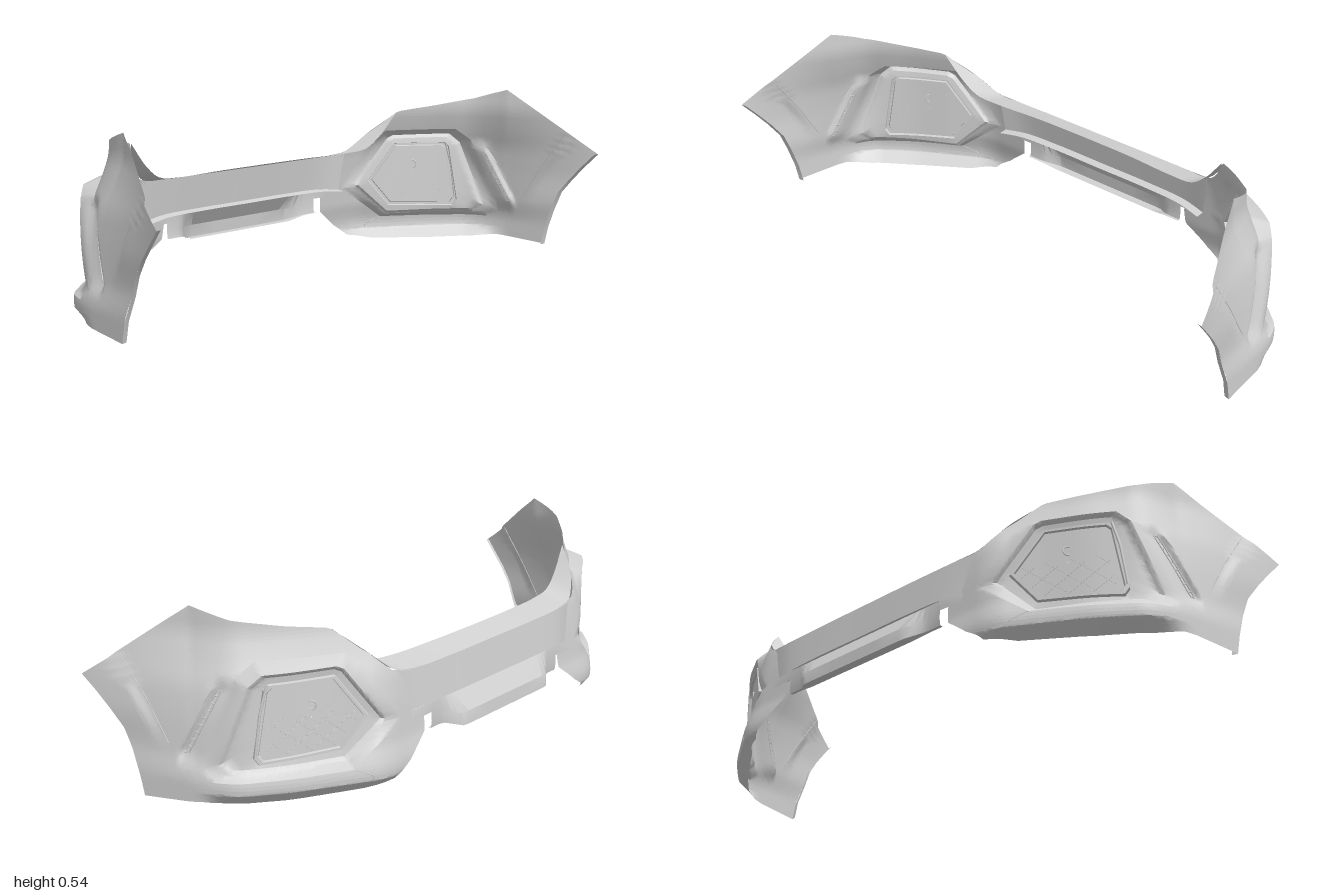
import * as THREE from 'three';
import { toCreasedNormals } from 'three/addons/utils/BufferGeometryUtils.js';

const grey = new THREE.MeshStandardMaterial({ color: 0xd2d2d2, side: THREE.DoubleSide });
grey.name = 'primer grey';
const { lerp, smoothstep, clamp } = THREE.MathUtils;
const V = (x, y, z) => new THREE.Vector3(x, y, z);

// Piecewise linear lookup in [[key, value], ...]
function lookup(table, k) {
  let i = 1;
  while (i < table.length - 1 && table[i][0] < k) i++;
  const [a, b] = [table[i - 1], table[i]];
  return lerp(a[1], b[1], clamp((k - a[0]) / (b[0] - a[0]), 0, 1));
}

// Lookup averaged over a small window, which rounds the corners
function soft(table, k, window) {
  let sum = 0;
  for (let i = -3; i <= 3; i++) sum += lookup(table, k + (i * window) / 3);
  return sum / 7;
}

// Corner skin: u = x + z runs round the corner from the front to the wheel arch
const FOOTPRINT = [[-0.2, 0.145], [0.2, 0.545], [0.32, 0.62], [0.58, 0.78], [0.8, 0.9],
  [0.93, 0.935], [1.265, 0.977], [1.375, 0.993], [1.5, 1.01]];
const LEAN = [[0.09, 0], [0.12, 0.012], [0.25, 0.025], [0.33, 0.037], [0.4, 0.058], [0.47, 0.075], [0.6, 0.075]];
const CHAMFER = [[0, 0.034], [0.045, 0.001], [0.06, 0]];
const POCKET = [[0.2, 0.036], [0.4, 0.035], [0.7, 0.024], [0.88, 0.024]];
const ARCH_CREASE = [[0.12, 1.02], [0.16, 1.045], [0.28, 1.125], [0.4, 1.225], [0.5, 1.3]];
const VENT = [[0.14, 0.983], [0.33, 0.845]];

// depth sinks a point inwards; pocket blends from the leaning skin to the upright lamp pocket
function skin(u, y, depth = 0, pocket = 0) {
  let d = soft(LEAN, y, 0.025) * (1 - clamp((u - 0.95) / 0.425, 0, 1));
  d += lookup(CHAMFER, y) * (1 - smoothstep(u, 0.8, 0.98));
  // Flared wheel arch edge
  d -= 0.008 * smoothstep(u - lookup(ARCH_CREASE, y), 0, 0.06) * smoothstep(y, 0.13, 0.26);
  // Hollow in front of the side vent
  const w = u - lookup(VENT, y);
  d += 0.012 * smoothstep(w, -0.09, 0) * (1 - smoothstep(w, 0.005, 0.04))
    * smoothstep(y, 0.1, 0.15) * (1 - smoothstep(y, 0.31, 0.37));
  const z = soft(FOOTPRINT, u, 0.05) - lerp(d, lookup(POCKET, u), pocket) - depth;
  return V(u - z, y, z);
}

// Outlines in (u, y), all star-shaped about CENTRE
const CENTRE = [0.5, 0.24];
const PANEL = [[0.295, 0.225], [0.415, 0.34], [0.65, 0.337], [0.668, 0.325], [0.708, 0.15], [0.69, 0.132], [0.39, 0.143]];
const RIM = [[0.2, 0.205], [0.37, 0.368], [0.4, 0.378], [0.69, 0.377], [0.745, 0.345], [0.87, 0.12], [0.82, 0.097], [0.36, 0.1]];
const FRAME = [[0.14, 0.2], [0.29, 0.365], [0.36, 0.4], [0.71, 0.4], [0.79, 0.36], [0.935, 0.11], [0.89, 0.08], [0.34, 0.085]];
const ARCH = [[1.15, 0.001], [1.165, 0.06], [1.19, 0.13], [1.22, 0.19], [1.27, 0.24], [1.32, 0.285], [1.375, 0.33]];
const OUTLINE = [[0.95, 0.543], [0.8, 0.51], [0.6, 0.486], [0.43, 0.47], [0.41, 0.465], [0.28, 0.4],
  [0.17, 0.335], [0.14, 0.33], [0.08, 0.2], [0.03, 0.18], [0.03, 0.13], [0.1, 0.07], [0.17, 0.03], [0.3, 0.014],
  [0.6, 0.008], [0.8, 0.01], [0.93, 0.017], ...ARCH];

// Distance from CENTRE to an outline along a given angle
function reach(poly, angle) {
  const dx = Math.cos(angle), dy = Math.sin(angle);
  let best = 0;
  poly.forEach((p, i) => {
    const q = poly[(i + 1) % poly.length];
    const ax = p[0] - CENTRE[0], ay = p[1] - CENTRE[1];
    const ex = q[0] - p[0], ey = q[1] - p[1];
    const den = dx * ey - dy * ex;
    if (Math.abs(den) < 1e-9) return;
    const t = (ax * ey - ay * ex) / den, s = (ax * dy - ay * dx) / den;
    if (t > 0 && s > -1e-6 && s < 1 + 1e-6) best = Math.max(best, t);
  });
  return best;
}

// Surface through rows of points
function loft(rows, name, crease = 0.5) {
  const n = rows[0].length, index = [];
  for (let i = 0; i < rows.length - 1; i++) {
    for (let j = 0; j < n - 1; j++) {
      const a = i * n + j, b = a + n;
      index.push(a, a + 1, b, a + 1, b + 1, b);
    }
  }
  const g = new THREE.BufferGeometry().setFromPoints(rows.flat());
  g.setIndex(index);
  return named(toCreasedNormals(g, crease), name);
}

function named(geometry, name) {
  const m = new THREE.Mesh(geometry, grey);
  m.name = name;
  return m;
}

function rod(points, radius, name, closed = false) {
  const path = new THREE.CatmullRomCurve3(points, closed, 'catmullrom', 0.1);
  return named(new THREE.TubeGeometry(path, points.length * 4, radius, 6, closed), name);
}

function cornerSkin() {
  const angles = [];
  for (let i = 0; i < 240; i++) angles.push(-Math.PI + (i / 240) * Math.PI * 2);
  for (const [u, y] of [PANEL, RIM, FRAME, OUTLINE].flat()) angles.push(Math.atan2(y - CENTRE[1], u - CENTRE[0]));
  angles.sort((a, b) => a - b);
  angles.push(angles[0]);
  // Rings from the pocket floor outwards: outline, scale, depth, pocket blend, steps
  const rings = [[PANEL, 0.01, 0, 1, 1], [PANEL, 1, 0, 1, 6], [PANEL, 1.02, -0.006, 1, 1], [PANEL, 1.09, -0.006, 1, 1],
    [PANEL, 1.11, 0.002, 1, 1], [RIM, 0.92, 0, 1, 3], [RIM, 0.98, -0.007, 1, 2], [RIM, 1, -0.008, 1, 1],
    [FRAME, 1, 0, 0, 4], [OUTLINE, 1, 0, 0, 40]];
  const columns = angles.map((a) => {
    const column = [];
    let r0 = 0, d0 = 0, p0 = 1;
    for (const [poly, scale, d1, p1, steps] of rings) {
      const r1 = reach(poly, a) * scale;
      for (let i = 1; i <= steps; i++) {
        const t = i / steps, r = lerp(r0, r1, t);
        column.push(skin(CENTRE[0] + r * Math.cos(a), CENTRE[1] + r * Math.sin(a), lerp(d0, d1, t), lerp(p0, p1, t)));
      }
      r0 = r1; d0 = d1; p0 = p1;
    }
    return column;
  });
  return loft(columns, 'cornerSkin', 0.6);
}

function corner() {
  const g = new THREE.Group();
  g.add(cornerSkin());

  // Return edge along the wheel arch
  const edge = ARCH.map(([u, y]) => skin(u, y));
  g.add(loft([edge, edge.map((p) => V(p.x - 0.004, p.y, p.z - 0.018))], 'archReturn'));

  // Fine diamond lattice on the lower pocket floor
  for (const slope of [-0.55, 0.55]) {
    for (let k = -3; k <= 2; k++) {
      const inside = [];
      for (let i = 0; i <= 80; i++) {
        const u = 0.28 + i * 0.0055, y = 0.2 + k * 0.055 + slope * (u - 0.5);
        const dx = u - CENTRE[0], dy = y - CENTRE[1];
        if (y < 0.25 && Math.hypot(dx, dy) < reach(PANEL, Math.atan2(dy, dx)) * 0.98) inside.push(skin(u, y, -0.0003, 1));
      }
      if (inside.length > 6) g.add(rod(inside.filter((p, i) => i % 5 === 0), 0.0005, 'latticeBar'));
    }
  }

  // Round sensor seat
  const seat = named(new THREE.TorusGeometry(0.013, 0.002, 8, 24), 'sensorSeat');
  seat.position.copy(skin(0.5, 0.275, -0.001, 1));
  seat.lookAt(seat.position.clone().add(V(-0.83, 0, 1.3)));
  g.add(seat);

  // Upright reflector strip beside the pocket panel
  g.add(rod([[0.672, 0.345], [0.7, 0.27], [0.722, 0.15]].map(([u, y]) => skin(u, y, -0.006, 1)), 0.004, 'reflectorStrip'));

  // Side vent rim and ribs
  const side = (offset) => [0.145, 0.2, 0.26, 0.325].map((y) => skin(lookup(VENT, y) + offset, y, -0.001));
  g.add(rod([...side(-0.008), ...side(0.008).reverse()], 0.002, 'ventRim', true));
  for (let i = 0; i < 8; i++) {
    const y = 0.16 + i * 0.021, u = lookup(VENT, y);
    g.add(rod([skin(u - 0.008, y), skin(u + 0.008, y + 0.004)], 0.002, 'ventRib'));
  }

  // Crease ahead of the wheel arch and seam across the lower lip
  g.add(rod([0.165, 0.22, 0.28, 0.34, 0.395].map((y) => skin(lookup(ARCH_CREASE, y), y)), 0.0015, 'archCrease'));
  g.add(rod([[0.26, 0.045], [0.265, 0.062], [0.34, 0.085]].map(([u, y]) => skin(u, y)), 0.0012, 'lipSeam'));
  return g;
}

// Half of the centre beam, its top flange and the lower lip
function halfBeam() {
  const g = new THREE.Group();
  const sample = (pts) => new THREE.CatmullRomCurve3(pts.map((p) => V(...p))).getPoints(40);
  const front = sample([[-0.325, 0.32, 0], [-0.325, 0.32, 0.2], [-0.32, 0.322, 0.37], [-0.308, 0.33, 0.455], [-0.26, 0.4, 0.54], [-0.19, 0.465, 0.6]]);
  const back = sample([[-0.24, 0.34, 0], [-0.237, 0.34, 0.2], [-0.225, 0.34, 0.38], [-0.215, 0.35, 0.47], [-0.205, 0.39, 0.53], [-0.19, 0.466, 0.6]]);
  g.add(loft([front, back], 'topFlange'));
  const top = sample([[-0.325, 0.32, 0], [-0.325, 0.32, 0.2], [-0.32, 0.322, 0.37], [-0.307, 0.33, 0.46]]);
  const low = sample([[-0.34, 0.21, 0], [-0.34, 0.21, 0.2], [-0.334, 0.208, 0.35], [-0.318, 0.2, 0.44]]);
  const ledge = low.map((p) => V(p.x + 0.027, p.y - 0.005, p.z));
  g.add(loft([ledge, low, top], 'beamFace'));

  // Lower lip, standing proud in the middle and stopping at the notch
  const rows = [0, 0.1, 0.2, 0.225, 0.25, 0.27, 0.29, 0.335].map((z) => {
    const out = 1 - smoothstep(z, 0.215, 0.285);
    const foot = lerp(0.13, 0.113, out);
    return [V(-0.335, 0.208, z), V(lerp(-0.338, -0.372, out), 0.152, z),
      V(lerp(-0.335, -0.375, out), foot, z), V(lerp(-0.325, -0.345, out), foot, z)];
  });
  g.add(loft(rows, 'lowerLip'));
  // Bridge above the notch
  g.add(loft([[V(-0.336, 0.178, 0.33), V(-0.333, 0.175, 0.42)], [V(-0.336, 0.209, 0.33), V(-0.328, 0.205, 0.42)]], 'notchBridge'));
  return g;
}

export function createModel() {
  const model = new THREE.Group();
  model.name = 'bumper';
  for (const s of [1, -1]) {
    const half = new THREE.Group();
    half.name = s > 0 ? 'leftHalf' : 'rightHalf';
    const c = corner(), b = halfBeam();
    c.name = 'corner';
    b.name = 'centreBeam';
    half.add(c, b);
    half.scale.z = s;
    model.add(half);
  }
  return model;
}
